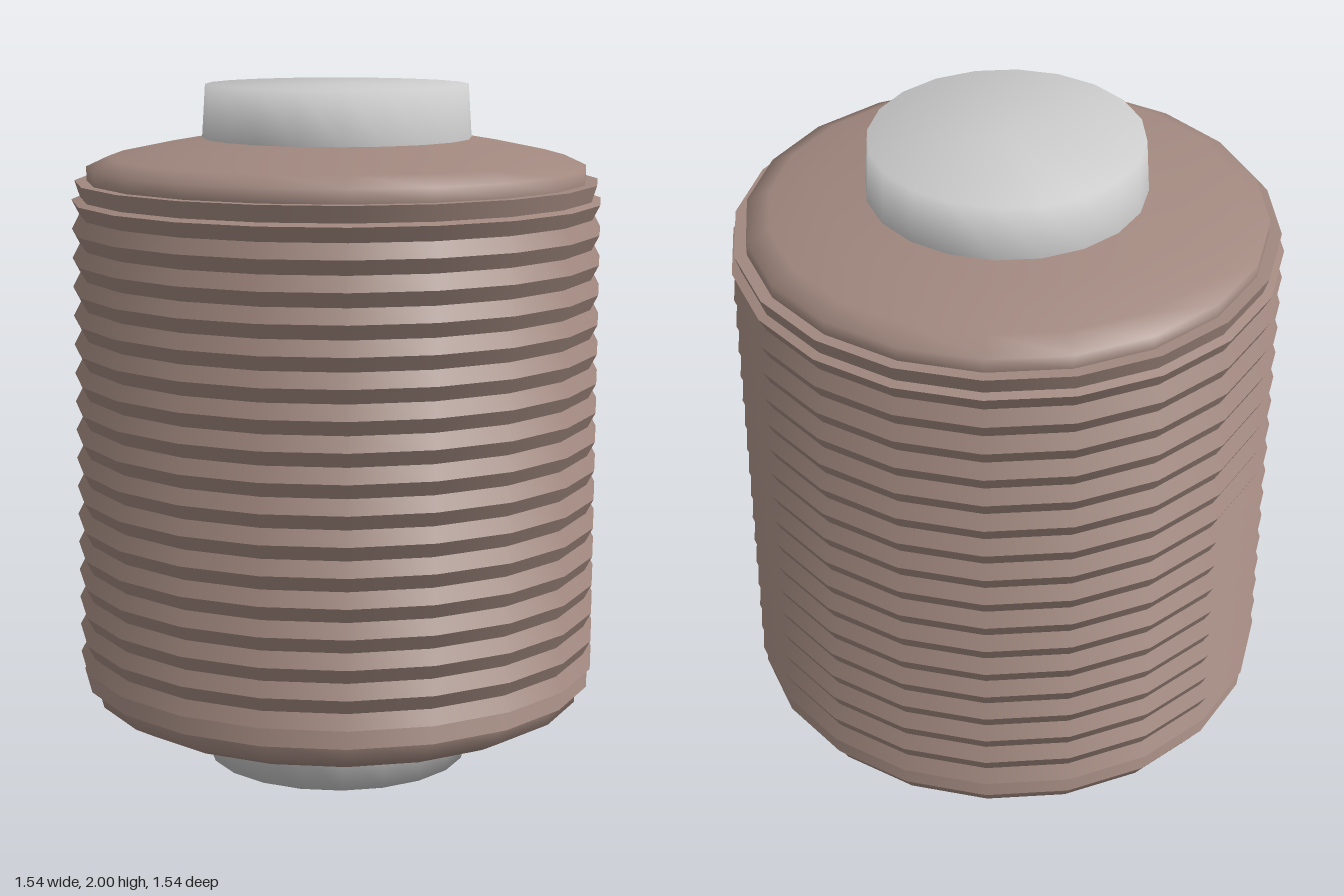
import * as THREE from 'three';
import { mergeGeometries } from 'three/addons/utils/BufferGeometryUtils.js';

const SIDES = 20;

// Profiles run from bottom to top so that faces point outward.
function lathe(points) {
  return new THREE.LatheGeometry(points.map(([r, y]) => new THREE.Vector2(r, y)), SIDES);
}

// One lathe per segment keeps every ring edge sharp, smooth around the axis.
function creasedLathe(points) {
  return mergeGeometries(points.slice(1).map((p, i) => lathe([points[i], p])));
}

export function createModel() {
  const group = new THREE.Group();
  const grey = new THREE.MeshStandardMaterial({ color: 0xcccccc });
  const brown = new THREE.MeshStandardMaterial({ color: 0xa1887f });

  function add(name, geometry, material) {
    const mesh = new THREE.Mesh(geometry, material);
    mesh.name = name;
    group.add(mesh);
  }

  // Grey end terminals with softly shaded caps
  add('bottomTerminal', lathe([[0, 0], [0.387, 0], [0.39, 0.11]]), grey);
  add('topTerminal', lathe([[0.39, 1.845], [0.38, 2], [0, 2]]), grey);

  // Rounded shoulders
  add('bottomShoulder', lathe([[0.385, 0.105], [0.5, 0.125], [0.66, 0.17], [0.725, 0.205], [0.725, 0.255]]), brown);
  add('topShoulder', lathe([[0.725, 1.725], [0.725, 1.765], [0.66, 1.795], [0.5, 1.828], [0.385, 1.848]]), brown);

  // Ribbed body: end collars with a zigzag of ridges between them
  const ribs = 17, first = 0.31, last = 1.67;
  const step = (last - first) / (ribs - 1);
  const profile = [[0.72, 0.255], [0.76, 0.255], [0.745, 0.302]];
  for (let i = 0; i < ribs; i++) {
    const y = first + i * step;
    profile.push([0.77, y]);
    if (i < ribs - 1) profile.push([0.748, y + step / 2]);
  }
  profile.push([0.745, 1.678], [0.76, 1.725], [0.72, 1.725]);
  add('ribbedBody', creasedLathe(profile), brown);

  return group;
}
